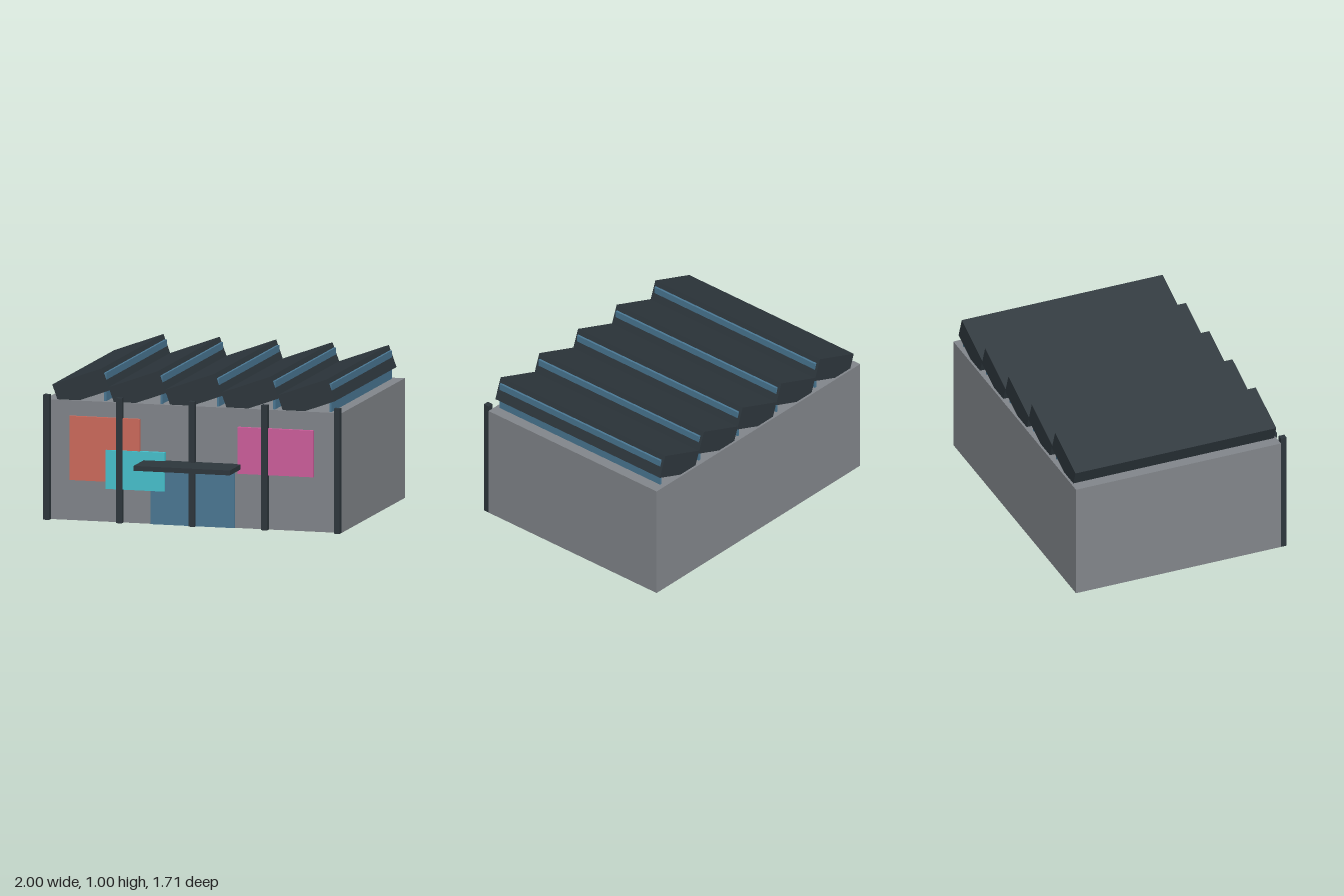
import * as THREE from 'three';

const paint = (name, color) => {
  const m = new THREE.MeshStandardMaterial({ color });
  m.name = name;
  return m;
};

export function createModel() {
  const group = new THREE.Group();
  const concrete = paint('concrete grey', 0x82868b);
  const steel = paint('dark steel', 0x2d363c);
  const glass = paint('blue glass', 0x4a7894);
  const coral = paint('coral', 0xcf6a5c);
  const cyan = paint('cyan', 0x47c2ce);
  const pink = paint('pink', 0xce5e9d);

  // Box given by its lower and upper bounds on each axis
  const block = (name, mat, [x0, x1], [y0, y1], [z0, z1]) => {
    const mesh = new THREE.Mesh(new THREE.BoxGeometry(x1 - x0, y1 - y0, z1 - z0), mat);
    mesh.position.set((x0 + x1) / 2, (y0 + y1) / 2, (z0 + z1) / 2);
    mesh.name = name;
    group.add(mesh);
    return mesh;
  };

  const front = 0.59;
  block('hall', concrete, [-1, 1], [0, 0.785], [-0.855, front]);

  // Sawtooth roof: tilted slabs, each with a clerestory window at its high end
  for (let i = 0; i < 5; i++) {
    const x = -0.763 + i * 0.38;
    const slab = new THREE.Mesh(new THREE.BoxGeometry(0.354, 0.152, 1.415), steel);
    slab.position.set(x, 0.869, -0.132);
    slab.rotation.z = 0.35;
    slab.name = 'roofSlab';
    group.add(slab);
    block('roofWindow', glass, [x + 0.153, x + 0.168], [0.775, 0.97], [-0.82, 0.56]);
  }

  // Facade posts
  for (let i = -2; i <= 2; i++) {
    const x = i * 0.49;
    block('post', steel, [x - 0.02, x + 0.02], [0, 0.82], [front, 0.63]);
  }

  // Entrance and canopy
  block('door', glass, [-0.283, 0.283], [0, 0.365], [front, 0.603]);
  block('canopy', steel, [-0.325, 0.325], [0.388, 0.42], [front, 0.855]);

  // Overlapping mural panels
  block('coralPanel', coral, [-0.83, -0.355], [0.265, 0.685], [front, 0.61]);
  block('cyanPanel', cyan, [-0.583, -0.185], [0.22, 0.475], [front, 0.62]);
  block('pinkPanel', pink, [0.305, 0.815], [0.36, 0.665], [front, 0.615]);

  return group;
}
